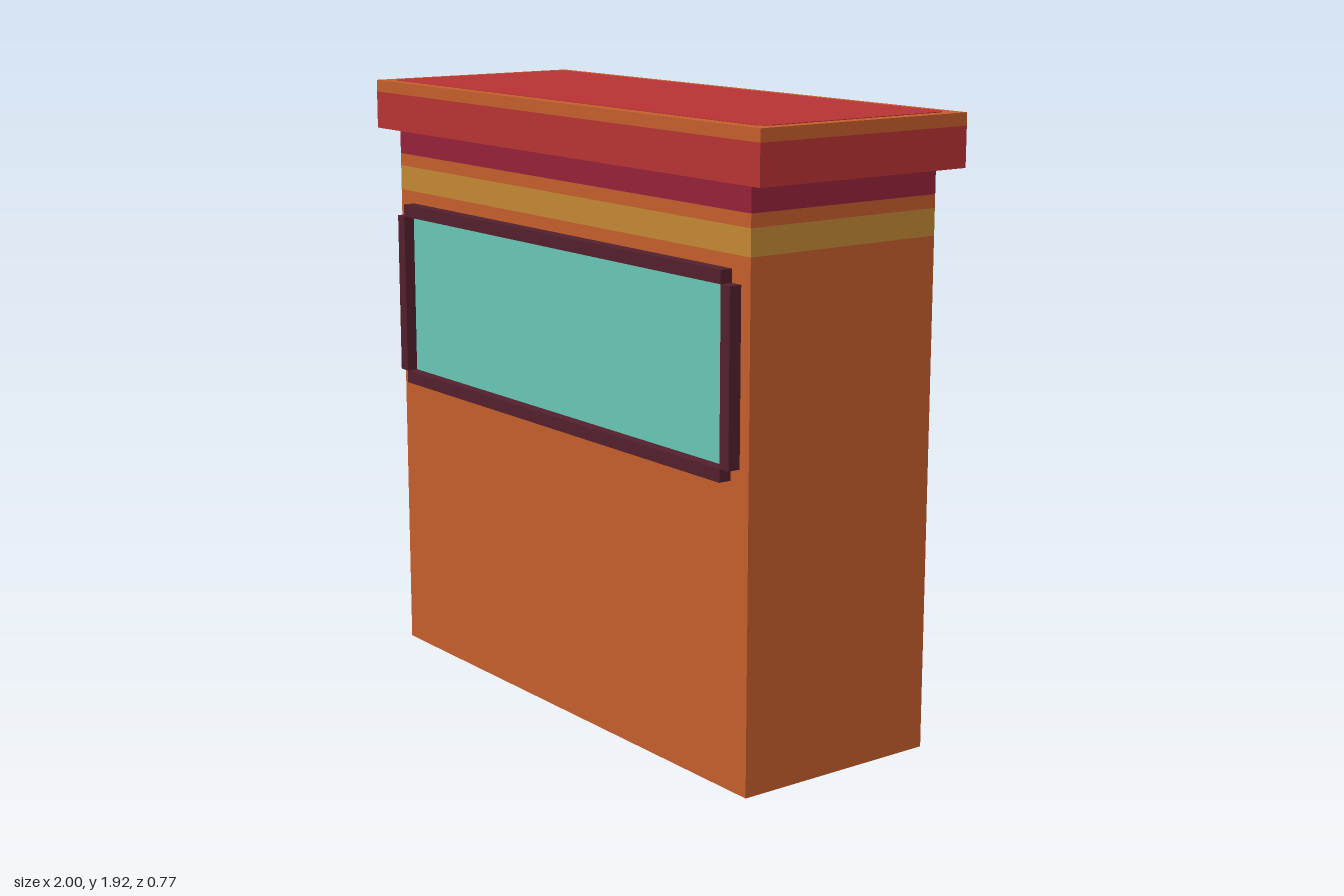
import * as THREE from 'three';

const paint = (name, color) => {
  const m = new THREE.MeshStandardMaterial({ color });
  m.name = name;
  return m;
};

export function createModel() {
  const orange = paint('orange', 0xc85f2c);
  const red = paint('red', 0xba3335);
  const crimson = paint('crimson', 0x98223a);
  const gold = paint('gold', 0xc68a35);
  const teal = paint('teal', 0x69cab8);
  const maroon = paint('maroon', 0x55202e);

  const model = new THREE.Group();
  model.name = 'building';

  const add = (name, geometry, material, x = 0, y = 0, z = 0) => {
    const mesh = new THREE.Mesh(geometry, material);
    mesh.name = name;
    mesh.position.set(x, y, z);
    model.add(mesh);
    return mesh;
  };

  // Stacked layers: name, half width, half depth, bottom, top, material
  const bodyX = 0.917, bodyZ = 0.341, roofX = 0.998, roofZ = 0.379;
  const layers = [
    ['wall', bodyX, bodyZ, 0, 1.56, orange],
    ['goldStripe', bodyX, bodyZ, 1.56, 1.64, gold],
    ['upperWall', bodyX, bodyZ, 1.64, 1.68, orange],
    ['crimsonBand', bodyX, bodyZ, 1.68, 1.76, crimson],
    ['roofSlab', roofX, roofZ, 1.76, 1.88, red],
    ['roofRim', roofX, roofZ, 1.88, 1.918, orange],
  ];
  for (const [name, hx, hz, y0, y1, material] of layers) {
    add(name, new THREE.BoxGeometry(hx * 2, y1 - y0, hz * 2), material, 0, (y0 + y1) / 2);
  }

  // Rounded roof panel inside the rim
  const px = 0.958, pz = 0.34, r = 0.035;
  const panel = new THREE.Shape();
  panel.absarc(px - r, pz - r, r, 0, Math.PI / 2);
  panel.absarc(-px + r, pz - r, r, Math.PI / 2, Math.PI);
  panel.absarc(-px + r, -pz + r, r, Math.PI, Math.PI * 1.5);
  panel.absarc(px - r, -pz + r, r, Math.PI * 1.5, Math.PI * 2);
  const panelGeometry = new THREE.ExtrudeGeometry(panel, { depth: 0.002, bevelEnabled: false, curveSegments: 6 });
  panelGeometry.rotateX(-Math.PI / 2);
  add('roofPanel', panelGeometry, red, 0, 1.918);

  // Window pane and its four frame bars, open at the outer corners
  const windowY = 1.22, halfW = 0.837, halfH = 0.26, bar = 0.04;
  add('windowPane', new THREE.BoxGeometry(halfW * 2, halfH * 2, 0.004), teal, 0, windowY, bodyZ + 0.002);
  for (const s of [-1, 1]) {
    add(s > 0 ? 'frameTop' : 'frameBottom', new THREE.BoxGeometry(halfW * 2, bar, bar),
      maroon, 0, windowY + s * (halfH + bar / 2), bodyZ + bar / 2);
    add(s > 0 ? 'frameLeft' : 'frameRight', new THREE.BoxGeometry(bar, halfH * 2, bar),
      maroon, s * (halfW + bar / 2), windowY, bodyZ + bar / 2);
  }

  // The whole block sits very slightly turned
  model.rotation.y = 0.005;
  return model;
}
